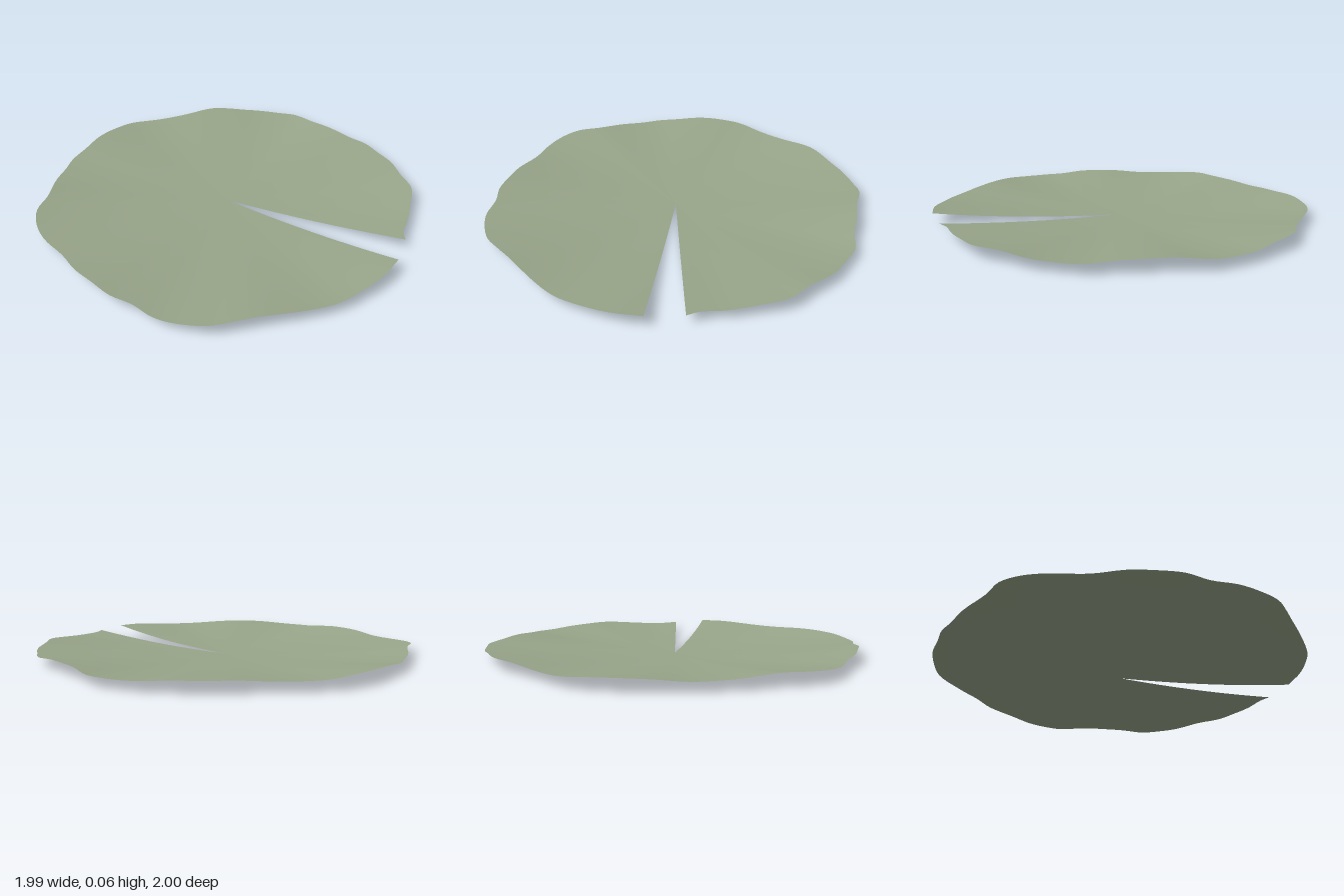
import * as THREE from 'three';

// Rim outline as x, z pairs, from one lip of the notch round to the other
const RIM = [
  0.99, 0.10, 0.97, 0.25, 0.90, 0.43, 0.85, 0.52, 0.745, 0.64, 0.60, 0.78, 0.54, 0.84, 0.45, 0.92,
  0.32, 0.975, 0.21, 0.995, 0.085, 0.98, -0.03, 0.99, -0.155, 0.965, -0.28, 0.935, -0.415, 0.875,
  -0.58, 0.825, -0.69, 0.76, -0.77, 0.67, -0.81, 0.55, -0.895, 0.39, -0.935, 0.27, -0.97, 0.17,
  -0.98, 0.04, -0.995, -0.105, -0.98, -0.235, -0.94, -0.37, -0.82, -0.51, -0.70, -0.65,
  -0.595, -0.79, -0.42, -0.89, -0.315, -0.945, -0.18, -0.985, -0.095, -1.0, 0.05, -0.96,
  0.19, -0.935, 0.325, -0.90, 0.44, -0.885, 0.55, -0.82, 0.65, -0.75, 0.75, -0.63, 0.845, -0.53,
  0.89, -0.38, 0.92, -0.25, 0.935, -0.14, 0.965, -0.08,
];
const CENTRE_Z = 0.01;
const COLUMNS = 176;
const RINGS = 16;

// Shallow bowl whose rim ripples in eight waves
function heightAt(t, angle) {
  const wave = Math.cos(8 * (angle - THREE.MathUtils.degToRad(8.5)));
  return 0.054 * t * t + 0.008 * t ** 3 * wave;
}

function leafGeometry() {
  const points = [];
  for (let i = 0; i < RIM.length; i += 2) points.push(new THREE.Vector3(RIM[i], 0, RIM[i + 1]));
  const rim = new THREE.CatmullRomCurve3(points).getPoints(COLUMNS);

  // Spokes from the centre out to the rim
  const positions = [];
  const index = [];
  const row = RINGS + 1;
  rim.forEach((p, i) => {
    const angle = Math.atan2(p.z - CENTRE_Z, p.x);
    for (let j = 0; j <= RINGS; j++) {
      const t = j / RINGS;
      positions.push(p.x * t, heightAt(t, angle), CENTRE_Z + (p.z - CENTRE_Z) * t);
      if (i === COLUMNS || j === RINGS) continue;
      const a = i * row + j;
      const b = a + row;
      if (j > 0) index.push(a, b, a + 1);
      index.push(b, b + 1, a + 1);
    }
  });

  const geometry = new THREE.BufferGeometry();
  geometry.setAttribute('position', new THREE.Float32BufferAttribute(positions, 3));
  geometry.setIndex(index);
  geometry.computeVertexNormals();
  return geometry;
}

export function createModel() {
  const leafGreen = new THREE.MeshStandardMaterial({ color: 0x99a68a, side: THREE.DoubleSide });
  leafGreen.name = 'leaf green';

  const leaf = new THREE.Mesh(leafGeometry(), leafGreen);
  leaf.name = 'lilyPadLeaf';

  const group = new THREE.Group();
  group.name = 'lilyPad';
  group.add(leaf);
  return group;
}
